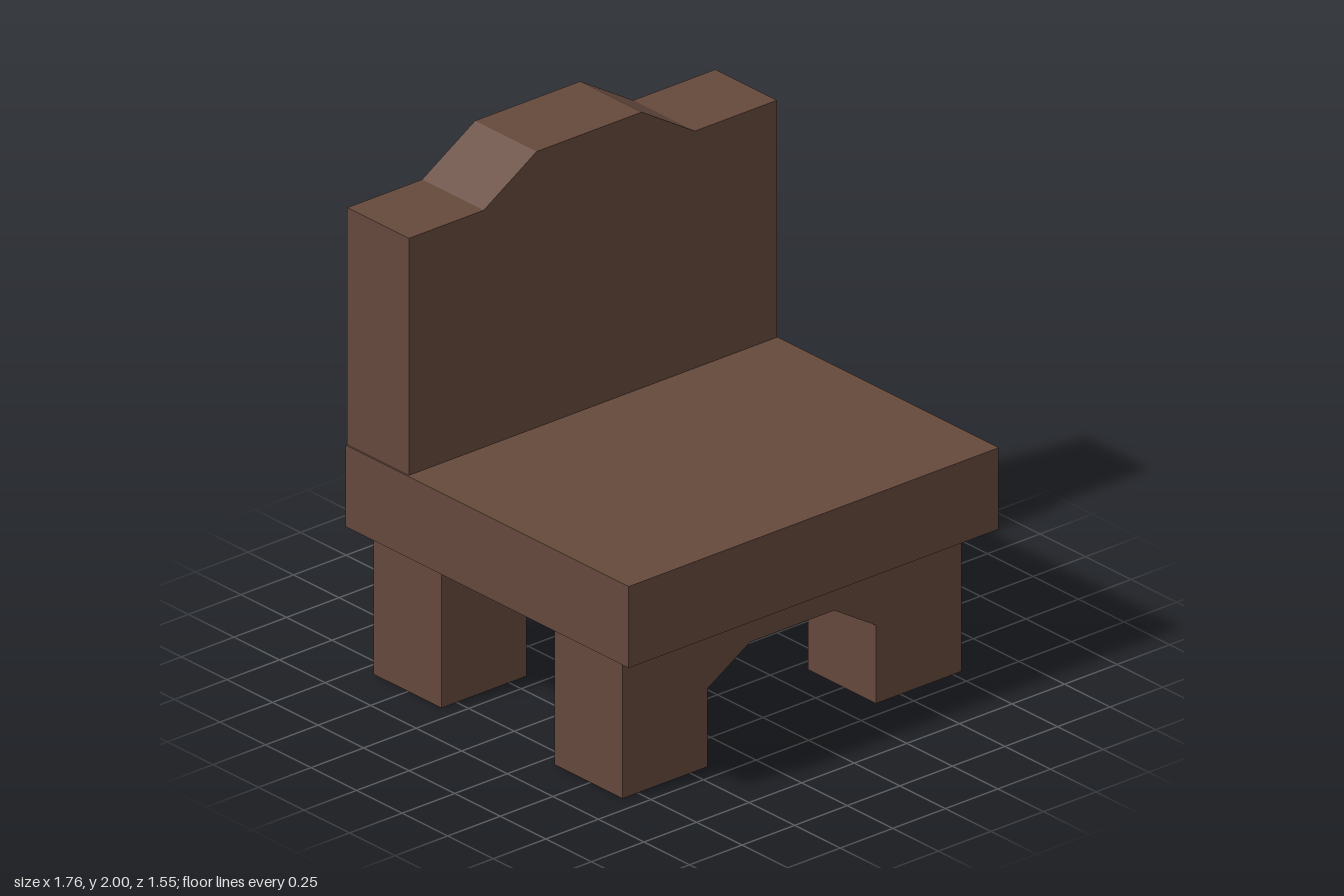
import * as THREE from 'three';

export function createModel() {
  const group = new THREE.Group();
  group.name = 'chair';
  const wood = new THREE.MeshStandardMaterial({ color: 0x65483c });
  wood.name = 'brown wood';

  const add = (name, geometry, x = 0, y = 0, z = 0) => {
    const mesh = new THREE.Mesh(geometry, wood);
    mesh.name = name;
    mesh.position.set(x, y, z);
    group.add(mesh);
  };

  // Upright slab: front outline extruded from z0 to z1
  const addSlab = (name, outline, z0, z1) => {
    const shape = new THREE.Shape(outline.map(([x, y]) => new THREE.Vector2(x, y)));
    add(name, new THREE.ExtrudeGeometry(shape, { depth: z1 - z0, bevelEnabled: false }), 0, 0, z0);
  };

  // Seat block
  add('seat', new THREE.BoxGeometry(1.76, 0.325, 1.555), 0, 0.7375, 0);

  // Backrest with a raised crest
  addSlab('backrest', [
    [-0.873, 0.9], [0.878, 0.9], [0.878, 1.845], [0.487, 1.845],
    [0.235, 2], [-0.265, 2], [-0.517, 1.845], [-0.873, 1.845],
  ], -0.775, -0.437);

  // Arched leg frames
  const arch = [
    [-0.822, 0], [-0.417, 0], [-0.417, 0.312], [-0.215, 0.433],
    [0.185, 0.433], [0.383, 0.312], [0.383, 0], [0.79, 0],
    [0.79, 0.575], [-0.822, 0.575],
  ];
  addSlab('frontLegs', arch, 0.303, 0.677);
  addSlab('backLegs', arch, -0.69, -0.317);

  return group;
}
